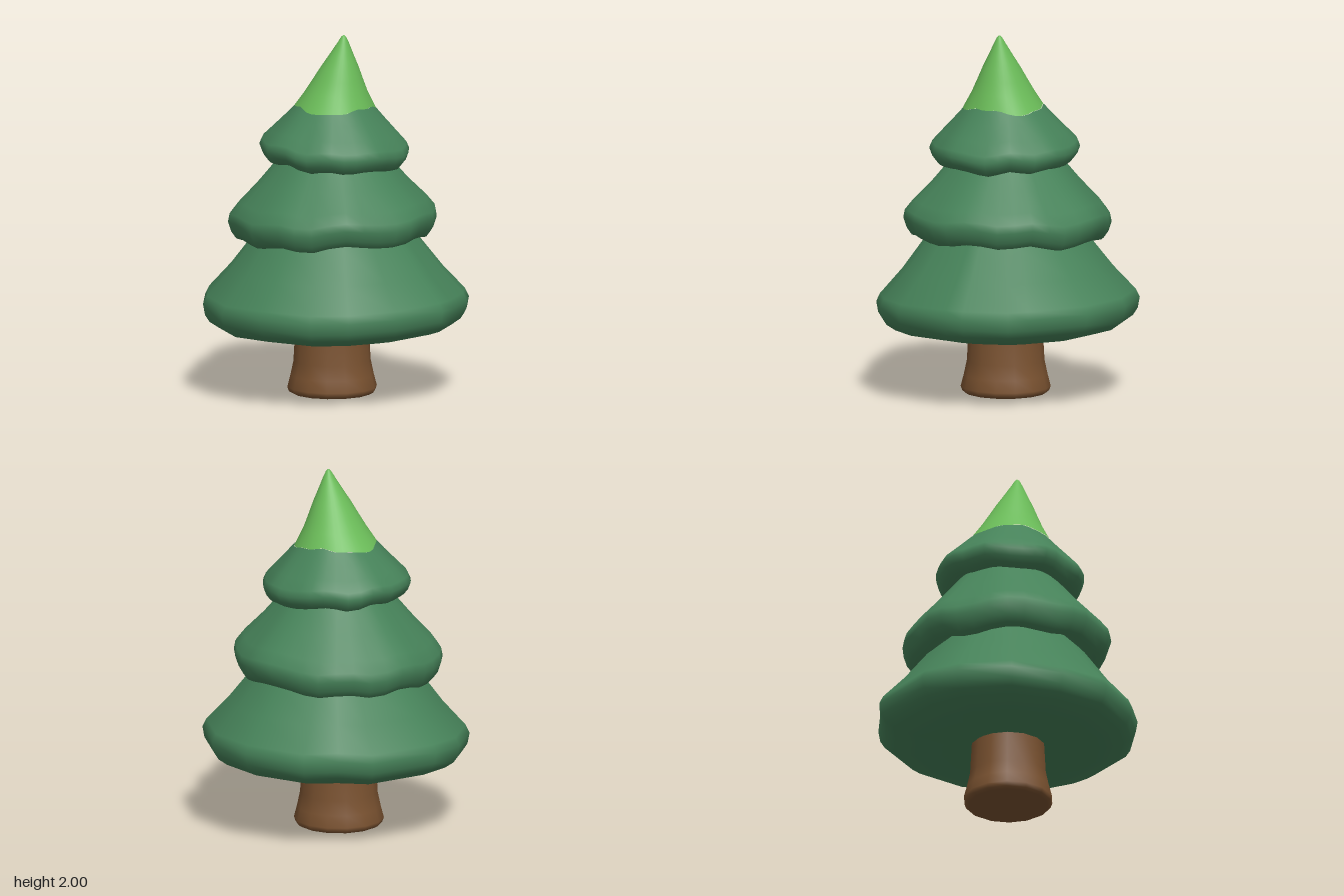
import * as THREE from 'three';

const TAU = Math.PI * 2;
const circle = (n) => Array.from({ length: n }, (_, i) => [Math.sin(i / n * TAU), Math.cos(i / n * TAU)]);

// Skin of rings, listed bottom to top; place(ring, x, z, angle) returns a point. Open ends stay open.
function skin(rings, outline, place) {
  const n = outline.length, pos = [], index = [];
  rings.forEach((ring) => outline.forEach(([x, z]) => pos.push(...place(ring, x, z, Math.atan2(x, z)))));
  for (let r = 0; r < rings.length - 1; r++) {
    for (let i = 0; i < n; i++) {
      const a = r * n + i, b = r * n + (i + 1) % n;
      index.push(a, b, a + n, b, b + n, a + n);
    }
  }
  const g = new THREE.BufferGeometry();
  g.setAttribute('position', new THREE.Float32BufferAttribute(pos, 3));
  g.setIndex(index);
  g.computeVertexNormals();
  return g;
}

// Uneven waves around a tier, roughly -1 to 1
const waves = (a, seed) => 0.5 * Math.sin(8 * a + seed) + 0.3 * Math.sin(5 * a + seed * 2.3) + 0.2 * Math.sin(11 * a + seed * 4);

export function createModel() {
  const tree = new THREE.Group();
  const mat = (name, color) => Object.assign(new THREE.MeshStandardMaterial({ color }), { name });
  const green = mat('pine green', 0x468259);
  const lime = mat('light green', 0x6abb58);
  const brown = mat('bark brown', 0x7a5230);
  const add = (name, geometry, material) => {
    const mesh = new THREE.Mesh(geometry, material);
    mesh.name = name;
    tree.add(mesh);
  };

  // Trunk, flared at the foot
  const trunkRings = [[0, 0], [0.22, 0], [0.238, 0.01], [0.247, 0.035], [0.23, 0.1], [0.213, 0.18], [0.203, 0.36], [0.2, 0.45]];
  add('trunk', skin(trunkRings, circle(14), ([r, y], x, z) => [x * r - 0.014, y, z * r + 0.014]), brown);

  // Lower tier: uneven many-cornered skirt
  const corners = [[-0.03, 0.73], [0.26, 0.67], [0.44, 0.56], [0.63, 0.36], [0.72, 0.04], [0.72, -0.07], [0.65, -0.32],
    [0.6, -0.42], [0.33, -0.65], [0.02, -0.73], [-0.33, -0.65], [-0.47, -0.52], [-0.62, -0.4], [-0.73, 0], [-0.7, 0.23],
    [-0.55, 0.49], [-0.32, 0.66]];
  const lowerRings = [[0.2, 0.38], [0.3, 0.352], [0.7, 0.355], [0.88, 0.385], [0.95, 0.42], [0.985, 0.46], [1, 0.52],
    [0.97, 0.565], [0.8, 0.7], [0.62, 0.87], [0.4, 1.05]];
  add('lowerTier', skin(lowerRings, corners, ([s, y], x, z, a) => {
    const rim = THREE.MathUtils.smoothstep(s, 0.5, 1);
    return [x * s, y + rim * (0.012 * waves(a, 1) - 0.022 * z), z * s];
  }), green);

  // Upper tiers: [radius, height, amount of waviness]
  const tier = (rings, seed, tilt, dx, dz) => skin(rings, circle(36), ([r, y, w], x, z, a) => {
    const k = r * (1 + 0.022 * w * waves(a, seed + 1));
    return [x * k + dx, y + w * (0.022 * waves(a, seed) + tilt * x), z * k + dz];
  });
  add('middleTier', tier([[0.3, 0.97, 0], [0.42, 0.9, 0.5], [0.48, 0.868, 1], [0.525, 0.875, 1], [0.55, 0.91, 1],
    [0.568, 0.965, 1], [0.56, 1.01, 0.9], [0.515, 1.07, 0.7], [0.41, 1.18, 0.4], [0.3, 1.31, 0.3], [0.2, 1.42, 0]],
  2, 0.02, -0.012, 0.005), green);

  // Colour seam shared by the top tier and the tip
  const seam = (a) => 1.595 + 0.012 * Math.sin(3 * a + 3.6) + 0.008 * waves(a, 5);
  const seamRadius = (y) => 0.222 - (y - 1.595) * 0.75;
  const topRings = [[0.2, 1.38, 0], [0.28, 1.31, 0.5], [0.33, 1.288, 1], [0.37, 1.3, 1], [0.395, 1.33, 1],
    [0.41, 1.37, 1], [0.395, 1.405, 0.9], [0.345, 1.46, 0.6], [0.275, 1.535, 0.3], [0, 0, 0]];
  add('topTier', skin(topRings, circle(36), ([r, y, w], x, z, a) => {
    if (r === 0) { y = seam(a); r = seamRadius(y); }
    const k = r * (1 + 0.022 * w * waves(a, 5));
    return [x * k, y + w * (0.016 * waves(a, 4) - 0.018 * x), z * k + 0.012];
  }), green);

  // Light tip leaning to one side, with a slightly rounded point
  const tipRings = [[0.22, 1.595], [0.173, 1.68], [0.138, 1.75], [0.104, 1.82], [0.066, 1.89], [0.032, 1.955], [0.013, 1.99], [0, 2]];
  add('tip', skin(tipRings, circle(36), ([r, y], x, z, a) => {
    const lean = 0.062 * Math.min(1, (y - 1.595) / 0.38);
    if (y === 1.595) { y = seam(a); r = seamRadius(y); }
    return [x * r + lean, y, z * r + 0.015];
  }), lime);

  return tree;
}
